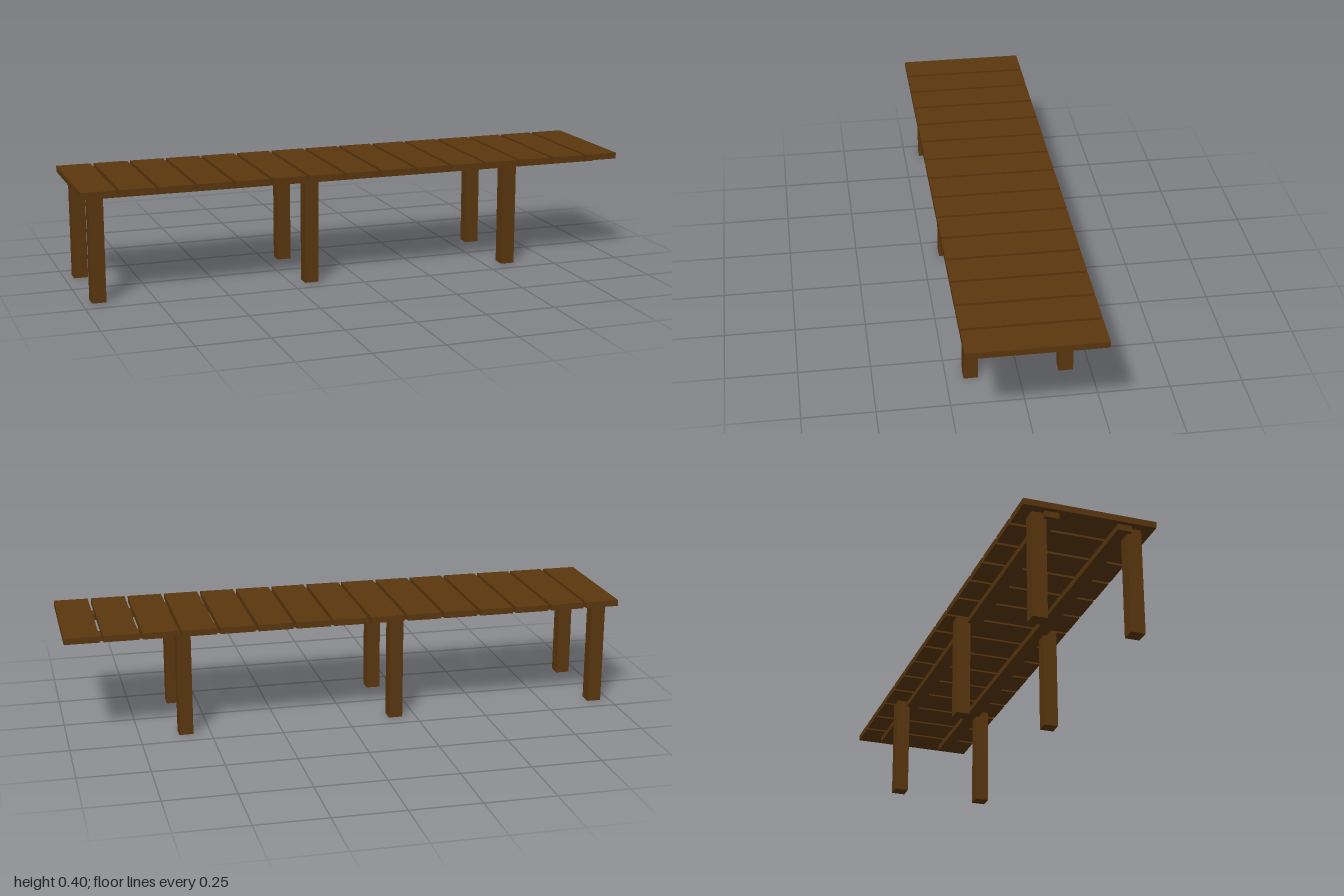
import * as THREE from 'three';

export function createModel() {
  const group = new THREE.Group();
  const wood = new THREE.MeshStandardMaterial({ color: 0x5a360e });
  wood.name = 'dark brown wood';

  // box given by its minimum and maximum corners
  function beam(name, [x0, y0, z0], [x1, y1, z1]) {
    const mesh = new THREE.Mesh(new THREE.BoxGeometry(x1 - x0, y1 - y0, z1 - z0), wood);
    mesh.position.set((x0 + x1) / 2, (y0 + y1) / 2, (z0 + z1) / 2);
    mesh.name = name;
    group.add(mesh);
  }

  const deckBottom = 0.376, deckTop = 0.398;

  // deck planks, laid crosswise with narrow gaps
  const count = 15, width = 0.122, pitch = (2 - width) / (count - 1);
  for (let i = 0; i < count; i++) {
    const x = -1 + i * pitch;
    beam('plank' + (i + 1), [x, deckBottom, -0.23], [x + width, deckTop, 0.23]);
  }

  for (const side of [-1, 1]) {
    const label = side > 0 ? 'front' : 'back';
    const span = (a, b) => (side > 0 ? [a, b] : [-b, -a]);

    // long rail under the planks
    const [r0, r1] = span(0.101, 0.151);
    beam(label + 'Rail', [-0.983, 0.355, r0], [0.947, deckBottom, r1]);

    // square posts
    const [p0, p1] = span(0.14, 0.19);
    [-0.942, -0.177, 0.587].forEach((x, i) =>
      beam(label + 'Post' + (i + 1), [x - 0.025, 0, p0], [x + 0.025, deckBottom, p1]));
  }

  return group;
}
